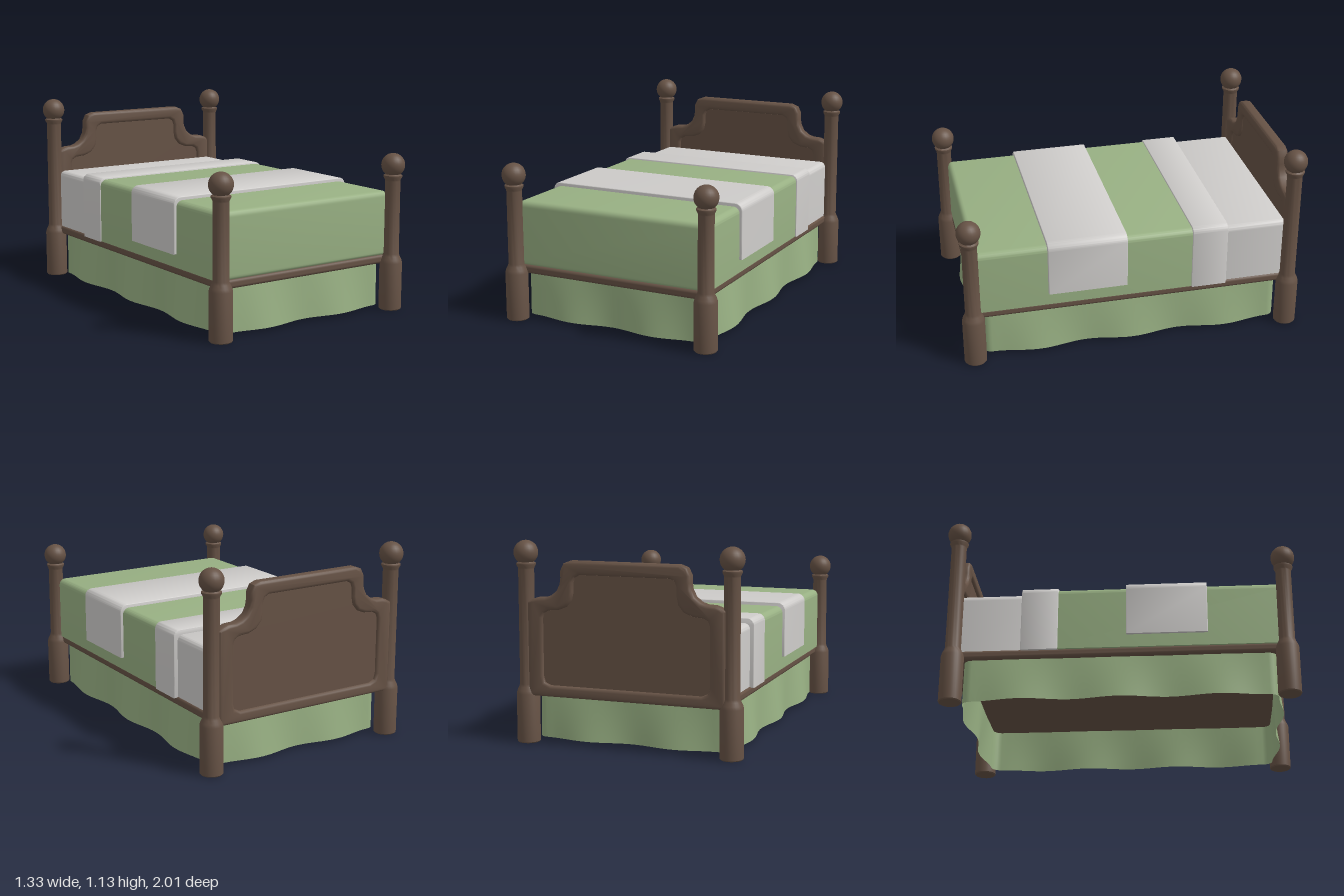
import * as THREE from 'three';
import { toCreasedNormals } from 'three/addons/utils/BufferGeometryUtils.js';
import { RoundedBoxGeometry } from 'three/addons/geometries/RoundedBoxGeometry.js';

const wood = new THREE.MeshStandardMaterial({ color: 0x665245 });
wood.name = 'wood';
const green = new THREE.MeshStandardMaterial({ color: 0x98b083 });
green.name = 'greenCloth';
const greenSkirt = new THREE.MeshStandardMaterial({ color: 0x98b083, side: THREE.DoubleSide });
greenSkirt.name = 'greenSkirtCloth';
const linen = new THREE.MeshStandardMaterial({ color: 0xcfcdcb });
linen.name = 'linen';

function add(parent, name, geometry, material, x = 0, y = 0, z = 0) {
  const mesh = new THREE.Mesh(geometry, material);
  mesh.name = name;
  mesh.position.set(x, y, z);
  parent.add(mesh);
  return mesh;
}

// Extrusion along z whose bevel stays inside the drawn outline
function bevelled(shape, depth, bevel, segments = 4) {
  const g = new THREE.ExtrudeGeometry(shape, {
    depth: depth - 2 * bevel, bevelThickness: bevel, bevelSize: bevel,
    bevelOffset: -bevel, bevelSegments: segments, curveSegments: 8,
  });
  g.translate(0, 0, bevel);
  return toCreasedNormals(g, 0.7);
}

// Cloth layer: block with rounded upper edges, running from z0 to z1
function cloth(parent, name, material, halfW, y0, y1, z0, z1, r, bevel) {
  const s = new THREE.Shape();
  s.moveTo(-halfW, y0);
  s.lineTo(halfW, y0);
  s.lineTo(halfW, y1 - r);
  s.absarc(halfW - r, y1 - r, r, 0, Math.PI / 2);
  s.lineTo(-halfW + r, y1);
  s.absarc(-halfW + r, y1 - r, r, Math.PI / 2, Math.PI);
  s.closePath();
  add(parent, name, bevelled(s, z1 - z0, bevel), material, 0, 0, z0);
}

// Turned post with collar and ball finial
function post(name, x, z, collarY) {
  const group = new THREE.Group();
  group.name = name;
  const profile = [
    [0, 0], [0.06, 0], [0.065, 0.006], [0.065, 0.277], [0.06, 0.295], [0.05, 0.315], [0.045, 0.33],
    [0.044, collarY - 0.03], [0.045, collarY - 0.022], [0.054, collarY - 0.006],
    [0.054, collarY + 0.003], [0.043, collarY + 0.009], [0.036, collarY + 0.02], [0, collarY + 0.02],
  ].map(([r, y]) => new THREE.Vector2(r, y));
  const shaft = new THREE.LatheGeometry(profile, 28);
  add(group, 'postShaft', toCreasedNormals(shaft, 0.6), wood);
  add(group, 'ballFinial', new THREE.SphereGeometry(0.068, 24, 16), wood, 0, collarY + 0.062, 0);
  group.position.set(x, 0, z);
  return group;
}

// Symmetric outline from its right half, listed bottom to top
function mirrored(half, Type) {
  const pts = half.map(([x, y]) => new THREE.Vector2(x, y));
  const left = half.map(([x, y]) => new THREE.Vector2(-x, y)).reverse();
  return new Type([...pts, ...left]);
}

// Gently waving cloth wall hung around the frame
function skirtGeometry() {
  const topY = 0.29, bottomY = 0.018, rows = 5;
  const w = 0.562, d = 0.88, r = 0.05;
  const ring = [];
  // Walk one side, then its rounded corner, four times
  for (let side = 0; side < 4; side++) {
    const angle = side * Math.PI / 2;
    const long = side % 2 === 0;
    const half = (long ? d : w) - r, out = long ? w : d;
    const nx = Math.cos(angle), nz = Math.sin(angle);
    const steps = long ? 48 : 32, waves = long ? 3 : 2;
    for (let i = 0; i <= steps; i++) {
      const t = i / steps, along = (2 * t - 1) * half;
      const wave = 0.5 - 0.5 * Math.cos(2 * Math.PI * waves * t);
      ring.push([nx * out - nz * along, nz * out + nx * along, nx, nz, wave]);
    }
    for (let i = 1; i < 6; i++) {
      const a = angle + i / 6 * Math.PI / 2;
      const cx = nx * (out - r) - nz * half, cz = nz * (out - r) + nx * half;
      ring.push([cx + r * Math.cos(a), cz + r * Math.sin(a), Math.cos(a), Math.sin(a), 0]);
    }
  }
  const pos = [], index = [], n = ring.length;
  for (let j = 0; j <= rows; j++) {
    const f = j / rows;
    for (const [x, z, nx, nz, wave] of ring) {
      const push = f * (0.036 * wave + 0.002);
      pos.push(x + nx * push, topY + (bottomY - topY) * f, z + nz * push);
    }
  }
  for (let j = 0; j < rows; j++) {
    for (let i = 0; i < n; i++) {
      const a = j * n + i, b = j * n + (i + 1) % n;
      index.push(a, b, a + n, b, b + n, a + n);
    }
  }
  const g = new THREE.BufferGeometry();
  g.setAttribute('position', new THREE.Float32BufferAttribute(pos, 3));
  g.setIndex(index);
  g.computeVertexNormals();
  return g;
}

export function createModel() {
  const bed = new THREE.Group();
  bed.name = 'bed';

  // Four posts, taller at the head
  for (const s of [-1, 1]) {
    const label = s > 0 ? 'left' : 'right';
    bed.add(post(label + 'FootPost', s * 0.598, 0.935, 0.783));
    bed.add(post(label + 'HeadPost', s * 0.598, -0.935, 1.003));
  }

  // Rail frame and its solid underside
  add(bed, 'railFrame', new RoundedBoxGeometry(1.175, 0.052, 1.83, 3, 0.018), wood, 0, 0.295, 0);

  // Headboard: stepped frame around a recessed panel
  const frame = mirrored([
    [0.575, 0.27], [0.575, 0.795], [0.545, 0.812], [0.515, 0.822], [0.47, 0.824], [0.435, 0.835],
    [0.4, 0.862], [0.381, 0.9], [0.376, 0.935], [0.376, 0.975], [0.356, 1.015], [0.316, 1.03],
  ], THREE.Shape);
  const opening = [
    [0.44, 0.335], [0.475, 0.35], [0.485, 0.385], [0.485, 0.71], [0.475, 0.738], [0.45, 0.752],
    [0.39, 0.757], [0.34, 0.777], [0.308, 0.815], [0.299, 0.86], [0.299, 0.91], [0.288, 0.94], [0.262, 0.954],
  ];
  frame.holes.push(mirrored(opening, THREE.Path));
  add(bed, 'headboardFrame', bevelled(frame, 0.07, 0.018, 3), wood, 0, 0, -0.98);
  const panel = new THREE.ExtrudeGeometry(mirrored(opening, THREE.Shape), { depth: 0.036, bevelEnabled: false });
  add(bed, 'headboardPanel', panel, wood, 0, 0, -0.963);

  // Bedding layers
  cloth(bed, 'blanket', green, 0.595, 0.315, 0.693, -0.45, 0.918, 0.04, 0.03);
  cloth(bed, 'sheet', linen, 0.578, 0.315, 0.675, -0.908, -0.42, 0.035, 0.015);
  cloth(bed, 'foldedSheetBand', linen, 0.602, 0.312, 0.703, -0.555, -0.345, 0.04, 0.006);
  cloth(bed, 'throwBlanket', linen, 0.611, 0.39, 0.714, 0.04, 0.5, 0.045, 0.006);

  // Skirt below the rails
  add(bed, 'bedSkirt', skirtGeometry(), greenSkirt);

  return bed;
}
